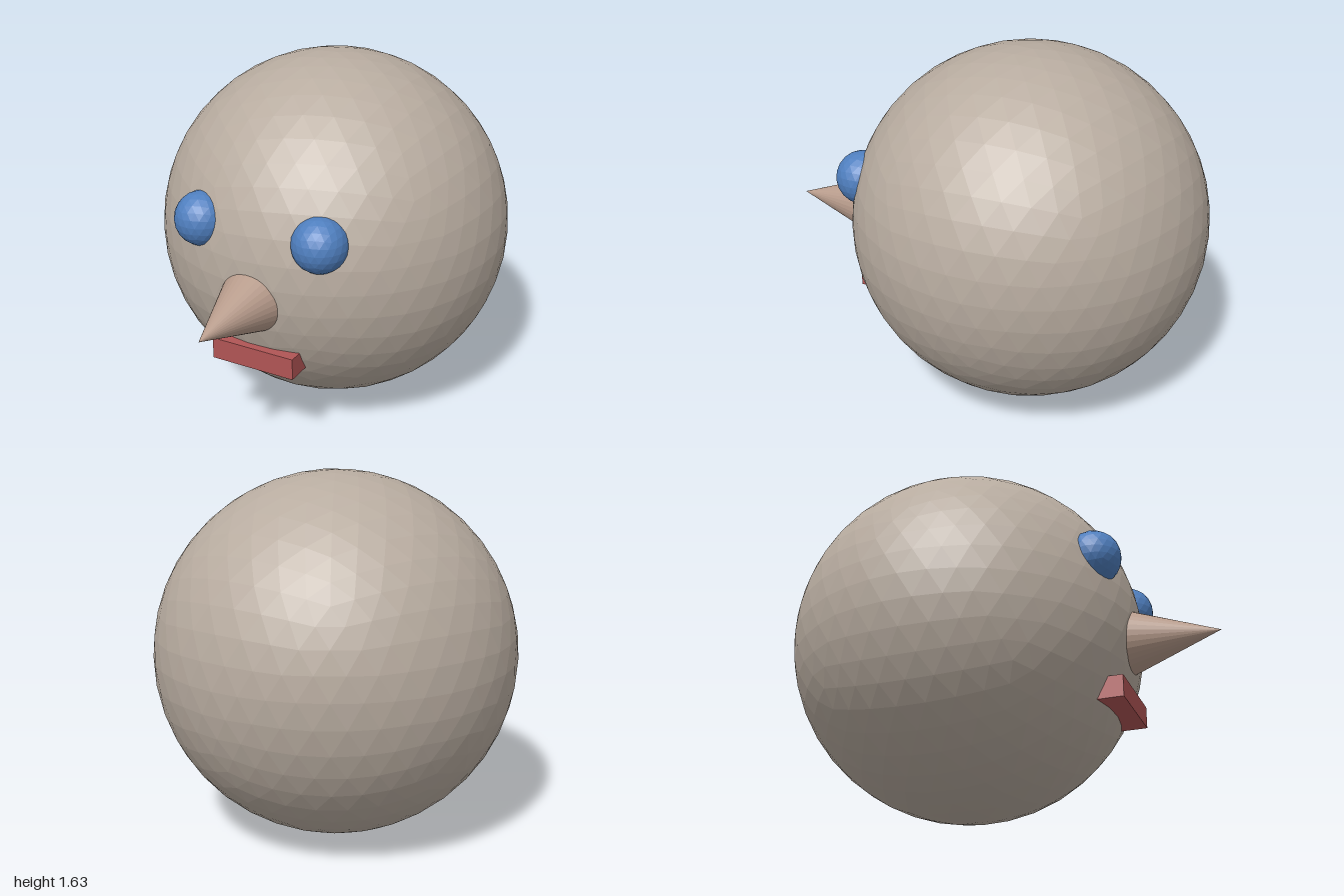
import * as THREE from 'three';

export function createModel() {
  const model = new THREE.Group();

  const add = (name, geometry, color, x, y, z) => {
    const material = new THREE.MeshStandardMaterial({ color, flatShading: true });
    const mesh = new THREE.Mesh(geometry, material);
    mesh.name = name;
    mesh.position.set(x, y, z);
    model.add(mesh);
    return mesh;
  };

  // Faceted ball with a vertex at each pole
  const ball = (radius, detail) =>
    new THREE.IcosahedronGeometry(radius, detail).rotateZ(Math.atan(2 / (1 + Math.sqrt(5))));

  // Head
  add('head', ball(0.815, 7), 0xb8aca0, 0, 0.82, -0.185);

  // Eyes, half sunk into the head
  for (const side of [-1, 1]) {
    add(side > 0 ? 'leftEye' : 'rightEye', ball(0.123, 3), 0x4f7fbf, side * 0.29, 1.03, 0.513);
  }

  // Nose: cone pointing forward, tip at z = 1
  const nose = new THREE.ConeGeometry(0.18, 0.5, 32).rotateX(Math.PI / 2);
  add('nose', nose, 0xb89c8c, 0, 0.735, 0.75);

  // Mouth: flat bar
  add('mouth', new THREE.BoxGeometry(0.405, 0.1, 0.2), 0xb05555, 0, 0.45, 0.5);

  return model;
}
